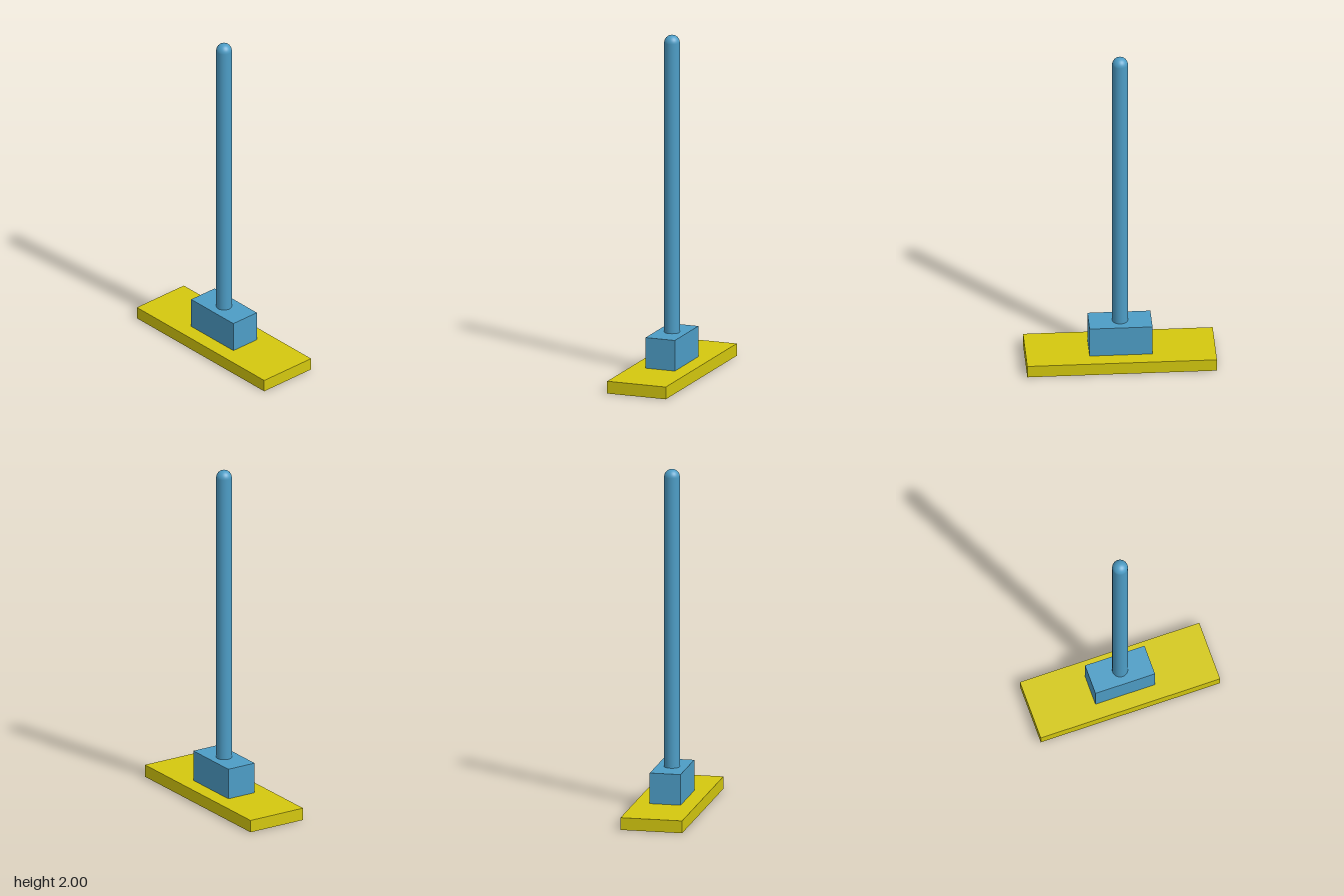
import * as THREE from 'three';

const YELLOW = new THREE.MeshStandardMaterial({ color: 0xd4c80f });
const BLUE = new THREE.MeshStandardMaterial({ color: 0x4d9dc6 });

const BASE_TOP = 0.072;
const BLOCK_TOP = 0.252;
const ROD_RADIUS = 0.045;
const HEIGHT = 2;

function addPart(group, name, geometry, material, y) {
  const mesh = new THREE.Mesh(geometry, material);
  mesh.name = name;
  mesh.position.y = y;
  group.add(mesh);
}

export function createModel() {
  const model = new THREE.Group();
  model.name = 'broom';

  // Flat brush head lying on the ground, long along z
  addPart(model, 'brushHead', new THREE.BoxGeometry(0.36, BASE_TOP, 1.085), YELLOW, BASE_TOP / 2);

  // Block that holds the handle
  const blockHeight = BLOCK_TOP - BASE_TOP;
  addPart(model, 'handleSocket', new THREE.BoxGeometry(0.18, blockHeight, 0.36), BLUE, BASE_TOP + blockHeight / 2);

  // Round handle with a domed tip
  const shaftTop = HEIGHT - ROD_RADIUS;
  const shaftLength = shaftTop - BLOCK_TOP;
  addPart(model, 'handle', new THREE.CylinderGeometry(ROD_RADIUS, ROD_RADIUS, shaftLength, 32, 1, true), BLUE, BLOCK_TOP + shaftLength / 2);
  addPart(model, 'handleTip', new THREE.SphereGeometry(ROD_RADIUS, 32, 12, 0, Math.PI * 2, 0, Math.PI / 2), BLUE, shaftTop);

  return model;
}
